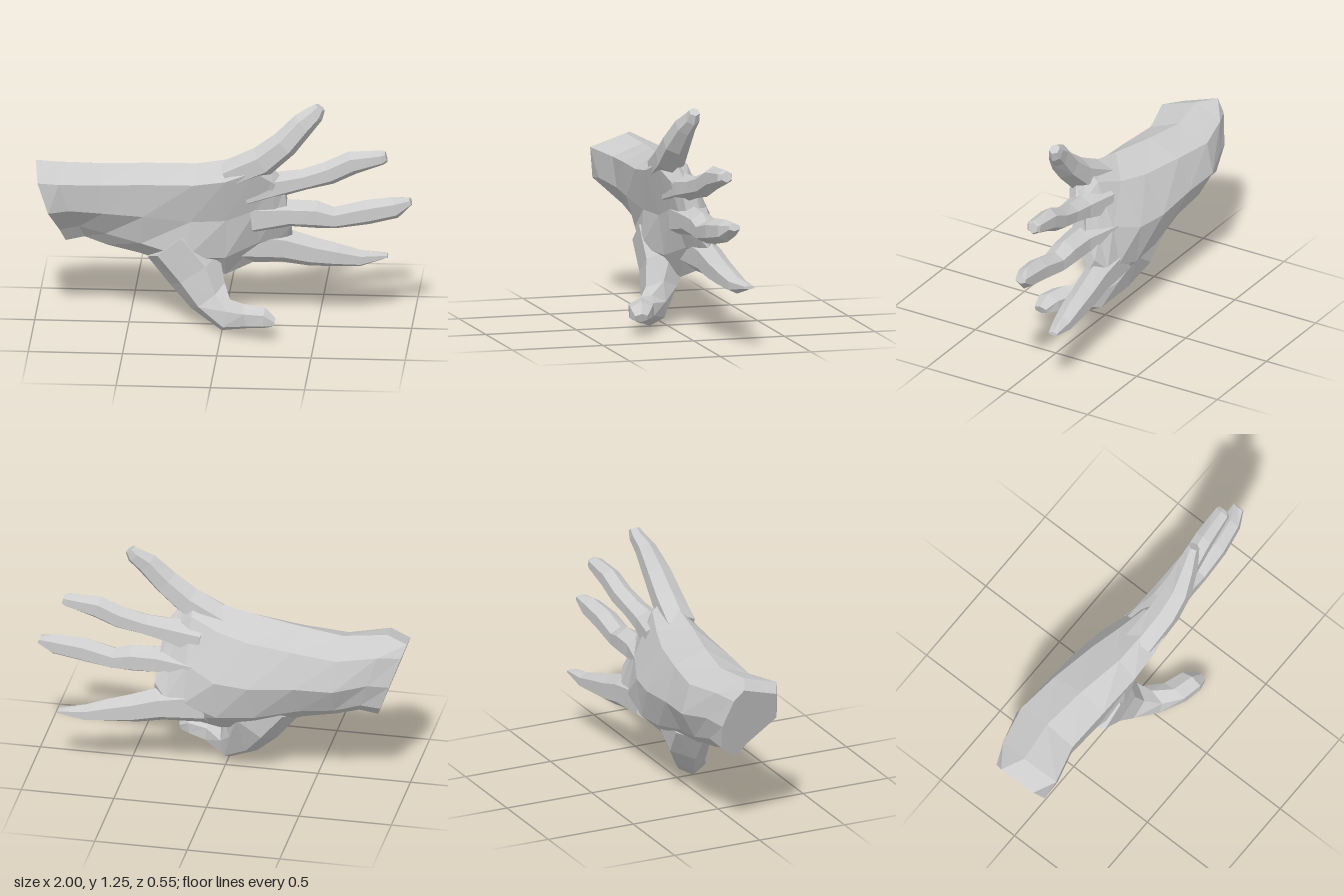
import * as THREE from 'three';

const material = new THREE.MeshStandardMaterial({ color: 0xcccccc, flatShading: true });

// Skin a series of closed rings running along +x and close both ends.
function loft(name, rings) {
  const pos = [];
  const tri = (...pts) => pts.forEach(p => pos.push(p.x, p.y, p.z));
  const n = rings[0].length;
  const middle = ring => ring.reduce((s, p) => s.add(p), new THREE.Vector3()).divideScalar(n);
  const first = rings[0], last = rings[rings.length - 1];
  const start = middle(first), end = middle(last);
  for (let j = 0; j < n; j++) {
    const k = (j + 1) % n;
    for (let i = 0; i < rings.length - 1; i++) {
      const a = rings[i], b = rings[i + 1];
      tri(a[j], a[k], b[j]);
      tri(a[k], b[k], b[j]);
    }
    tri(start, first[k], first[j]);
    tri(end, last[j], last[k]);
  }
  const geometry = new THREE.BufferGeometry();
  geometry.setAttribute('position', new THREE.Float32BufferAttribute(pos, 3));
  geometry.computeVertexNormals();
  const mesh = new THREE.Mesh(geometry, material);
  mesh.name = name;
  return mesh;
}

// Palm ring: top and bottom points, with depths of the front and back in between.
function palmRing([top, bottom, front, back]) {
  const a = new THREE.Vector3(...top), b = new THREE.Vector3(...bottom);
  const t = [0.14, 0.5, 0.82];
  const at = (f, z) => a.clone().lerp(b, f).setZ(z);
  return [a, ...front.map((z, i) => at(t[i], z)), b, ...back.map((z, i) => at(t[i], z)).reverse()];
}

// Finger: stations of [x, y, z, half width, half depth], rings square to the path.
function finger(name, stations, sides = 6) {
  const rings = stations.map(([x, y, z, w, d], i) => {
    const p = stations[Math.max(i - 1, 0)], q = stations[Math.min(i + 1, stations.length - 1)];
    const dir = new THREE.Vector2(q[0] - p[0], q[1] - p[1]).normalize();
    return Array.from({ length: sides }, (_, j) => {
      const a = j / sides * Math.PI * 2;
      const s = Math.cos(a) * w;
      return new THREE.Vector3(x - dir.y * s, y + dir.x * s, z + Math.sin(a) * d);
    });
  });
  return loft(name, rings);
}

export function createModel() {
  const hand = new THREE.Group();
  hand.name = 'hand';

  // Wrist and palm, from the cut wrist to the knuckles
  hand.add(loft('palm', [
    [[-1.0, 0.87, -0.09], [-0.84, 0.43, -0.07], [0.11, 0.14, -0.01], [-0.14, -0.18, -0.16]],
    [[-0.88, 0.885, -0.03], [-0.74, 0.45, -0.08], [0.17, 0.14, -0.02], [-0.19, -0.22, -0.18]],
    [[-0.65, 0.87, -0.06], [-0.62, 0.41, -0.07], [0.11, 0.09, -0.01], [-0.24, -0.28, -0.20]],
    [[-0.40, 0.89, -0.03], [-0.44, 0.37, -0.06], [0.12, 0.10, 0.05], [-0.21, -0.27, -0.19]],
    [[-0.14, 0.91, 0.02], [-0.20, 0.29, -0.06], [0.13, 0.08, 0.09], [-0.16, -0.26, -0.20]],
    [[0.02, 0.94, 0.03], [0.01, 0.26, -0.07], [0.125, 0.05, 0.02], [-0.11, -0.23, -0.20]],
    [[0.17, 0.99, 0.04], [0.19, 0.33, -0.13], [0.11, 0.03, -0.05], [-0.06, -0.16, -0.20]],
    [[0.26, 0.90, 0.02], [0.29, 0.36, -0.14], [0.06, 0.01, -0.08], [-0.04, -0.13, -0.19]],
    [[0.32, 0.82, -0.01], [0.36, 0.47, -0.12], [0.01, -0.01, -0.07], [-0.06, -0.09, -0.15]],
  ].map(palmRing)));

  // Four spread fingers, flared where they leave the palm
  hand.add(finger('littleFinger', [
    [0.02, 0.85, 0.03, 0.08, 0.09], [0.21, 0.94, 0.045, 0.085, 0.085], [0.33, 1.04, 0.045, 0.075, 0.075],
    [0.43, 1.15, 0.025, 0.065, 0.055], [0.49, 1.20, 0.005, 0.05, 0.04], [0.515, 1.235, 0.0, 0.03, 0.03],
  ]));
  hand.add(finger('ringFinger', [
    [0.12, 0.76, -0.03, 0.11, 0.11], [0.30, 0.79, -0.025, 0.07, 0.08], [0.43, 0.815, -0.035, 0.058, 0.065],
    [0.56, 0.85, -0.05, 0.065, 0.06], [0.68, 0.905, -0.06, 0.065, 0.055], [0.84, 0.935, -0.07, 0.04, 0.045],
    [0.86, 0.94, -0.075, 0.03, 0.03],
  ]));
  hand.add(finger('middleFinger', [
    [0.15, 0.60, -0.07, 0.11, 0.12], [0.35, 0.62, -0.05, 0.075, 0.085], [0.49, 0.615, -0.05, 0.077, 0.075],
    [0.59, 0.60, -0.045, 0.06, 0.068], [0.76, 0.635, -0.045, 0.068, 0.065], [0.91, 0.66, -0.06, 0.06, 0.055],
    [0.99, 0.69, -0.08, 0.02, 0.035],
  ]));
  hand.add(finger('indexFinger', [
    [0.08, 0.43, -0.12, 0.12, 0.09], [0.32, 0.405, -0.14, 0.095, 0.075], [0.46, 0.37, -0.15, 0.082, 0.07],
    [0.59, 0.35, -0.16, 0.065, 0.065], [0.72, 0.33, -0.175, 0.045, 0.055], [0.86, 0.34, -0.20, 0.01, 0.03],
  ]));

  // Thumb, dropping from the heel of the palm and curling forward
  hand.add(finger('thumb', [
    [-0.28, 0.46, -0.04, 0.16, 0.15], [-0.155, 0.305, -0.03, 0.16, 0.135], [-0.08, 0.17, 0.02, 0.115, 0.10],
    [0.02, 0.09, 0.095, 0.09, 0.09], [0.13, 0.115, 0.18, 0.068, 0.08], [0.23, 0.12, 0.21, 0.06, 0.07],
    [0.285, 0.10, 0.225, 0.025, 0.04],
  ]));

  return hand;
}
